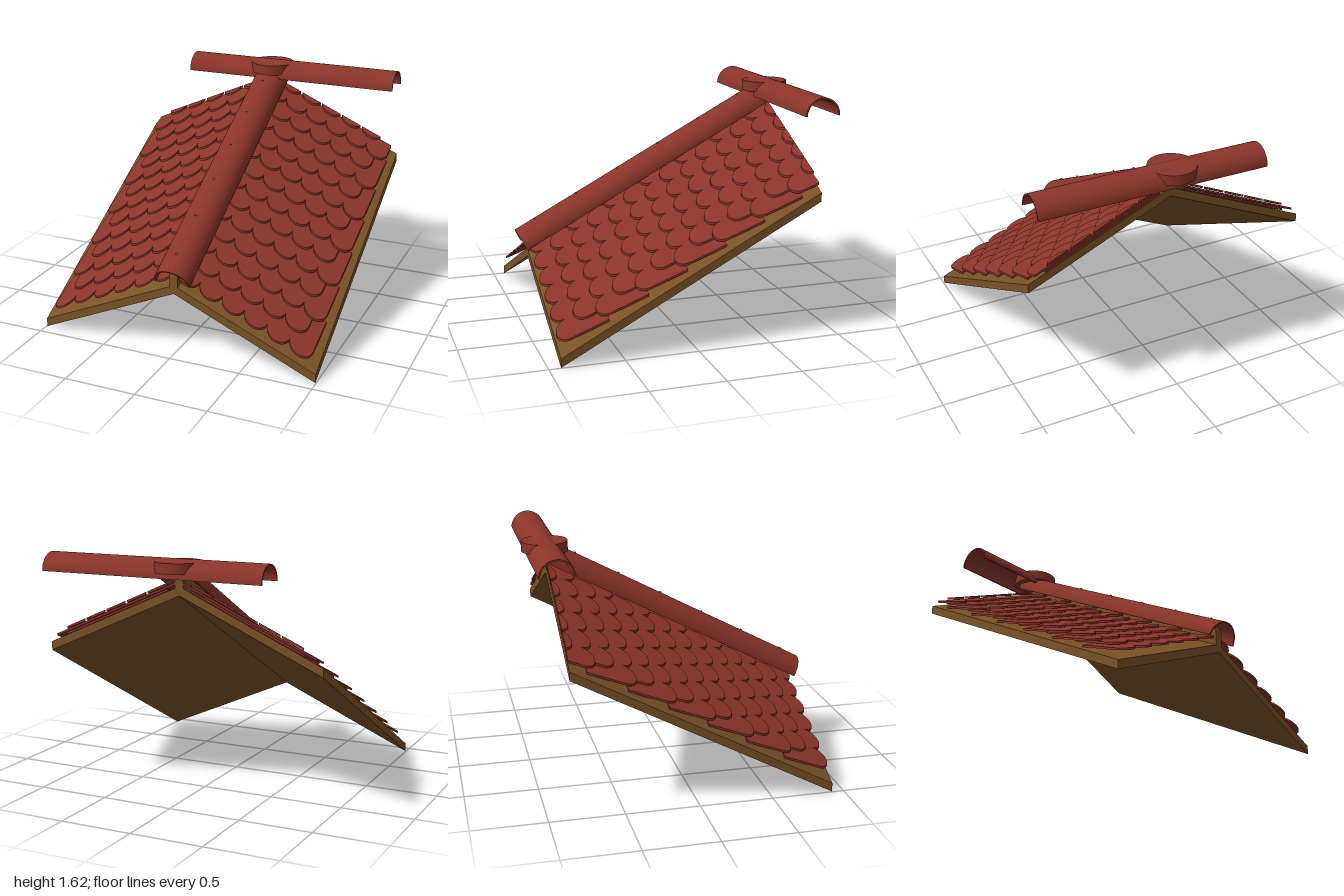
import * as THREE from 'three';
import { toCreasedNormals, mergeGeometries } from 'three/addons/utils/BufferGeometryUtils.js';

const PITCH = 0.442;   // fall from the ridge to the sides
const SLOPE = 0.534;   // fall from back to front
const FRONT = 0.92, BACK = -0.84, HALF = 0.995;
const deckTop = (x, z) => 0.5 - PITCH * Math.abs(x) + SLOPE * (FRONT - z);

const clay = new THREE.MeshStandardMaterial({ color: 0x8b352a });
const wood = new THREE.MeshStandardMaterial({ color: 0x7a5226 });
const steel = new THREE.MeshStandardMaterial({ color: 0x77706c });
clay.name = 'clay red';
wood.name = 'timber brown';
steel.name = 'screw grey';

function part(name, geometry, material) {
  const mesh = new THREE.Mesh(geometry, material);
  mesh.name = name;
  return mesh;
}

// Cross-section run from front to back, rising with the roof slope
function slopedBar(points) {
  const shape = new THREE.Shape(points.map(([x, y]) => new THREE.Vector2(x, y)));
  const geo = new THREE.ExtrudeGeometry(shape, { depth: FRONT - BACK, bevelEnabled: false });
  geo.translate(0, 0, BACK);
  const p = geo.attributes.position;
  for (let i = 0; i < p.count; i++) p.setY(i, p.getY(i) + SLOPE * (FRONT - p.getZ(i)));
  geo.computeVertexNormals();
  return geo;
}

// Round-ended tile lying on the deck, its tip lifted over the rows below
function tile(cx, tip, r) {
  const length = Math.min(0.33, tip - BACK);
  const maxA = length < r ? Math.acos(1 - length / r) : Math.PI / 2;
  const pts = [];
  for (let i = 0; i <= 14; i++) {
    const a = maxA * (i / 7 - 1);
    pts.push(new THREE.Vector2(r * Math.sin(a), r - r * Math.cos(a)));
  }
  if (length > r) pts.push(new THREE.Vector2(r, length), new THREE.Vector2(-r, length));
  const geo = new THREE.ExtrudeGeometry(new THREE.Shape(pts), { depth: 0.015, bevelEnabled: false });
  const p = geo.attributes.position;
  for (let i = 0; i < p.count; i++) {
    const x = cx + p.getX(i), v = p.getY(i), z = tip - v;
    p.setXYZ(i, x, deckTop(x, z) + 0.05 - 0.15 * v + p.getZ(i), z);
  }
  geo.computeVertexNormals();
  return geo;
}

// Half-round hollow ridge cover along z
function halfPipe(radius, length) {
  const shape = new THREE.Shape();
  shape.absarc(0, 0, radius, 0, Math.PI, false);
  shape.absarc(0, 0, radius - 0.01, Math.PI, 0, true);
  const geo = new THREE.ExtrudeGeometry(shape, { depth: length, bevelEnabled: false, curveSegments: 24 });
  return toCreasedNormals(geo, 0.6);
}

export function createModel() {
  const model = new THREE.Group();
  model.name = 'roofSection';

  // Timber deck and ridge batten
  const rise = PITCH * HALF;
  model.add(part('deck', slopedBar([
    [-HALF, 0], [0, rise], [HALF, 0], [HALF, 0.06], [0, rise + 0.06], [-HALF, 0.06],
  ]), wood));
  model.add(part('ridgeBatten', slopedBar([
    [-0.03, 0.47], [0.03, 0.47], [0.03, 0.62], [-0.03, 0.62],
  ]), wood));

  // Staggered tile rows on both sides
  const width = 0.158, rows = 14;
  for (const side of [1, -1]) {
    const tiles = [];
    for (let row = 0; row < rows; row++) {
      const odd = row % 2;
      for (let col = 0; col < 6 - odd; col++) {
        const cx = side * (0.95 - width * (col + 0.5 + odd * 0.5));
        tiles.push(tile(cx, FRONT - row * 0.1315, width / 2));
      }
    }
    model.add(part(side > 0 ? 'leftTiles' : 'rightTiles', mergeGeometries(tiles), clay));
  }

  // Sloping hip cover with its screws
  const hip = new THREE.Group();
  hip.name = 'hipCover';
  hip.add(part('hipPipe', halfPipe(0.127, 2.08), clay));
  for (let i = 0; i < 6; i++) {
    const screw = part('screw', new THREE.CylinderGeometry(0.007, 0.007, 0.012, 8), steel);
    screw.position.set(0, 0.128, 1.925 - i * 0.34);
    hip.add(screw);
  }
  hip.rotation.x = Math.atan(SLOPE);
  hip.position.set(0, 1.5, -0.893);
  model.add(hip);

  // Level ridge cover across the top
  const ridge = part('ridgeCover', halfPipe(0.12, 1.6), clay);
  ridge.rotation.y = Math.PI / 2;
  ridge.position.set(-0.635, 1.5, -0.845);
  model.add(ridge);

  // Round cap where the covers meet
  const cap = part('junctionCap', new THREE.CylinderGeometry(0.158, 0.158, 0.07, 40), clay);
  cap.position.set(0, 1.57, -0.842);
  model.add(cap);

  return model;
}
